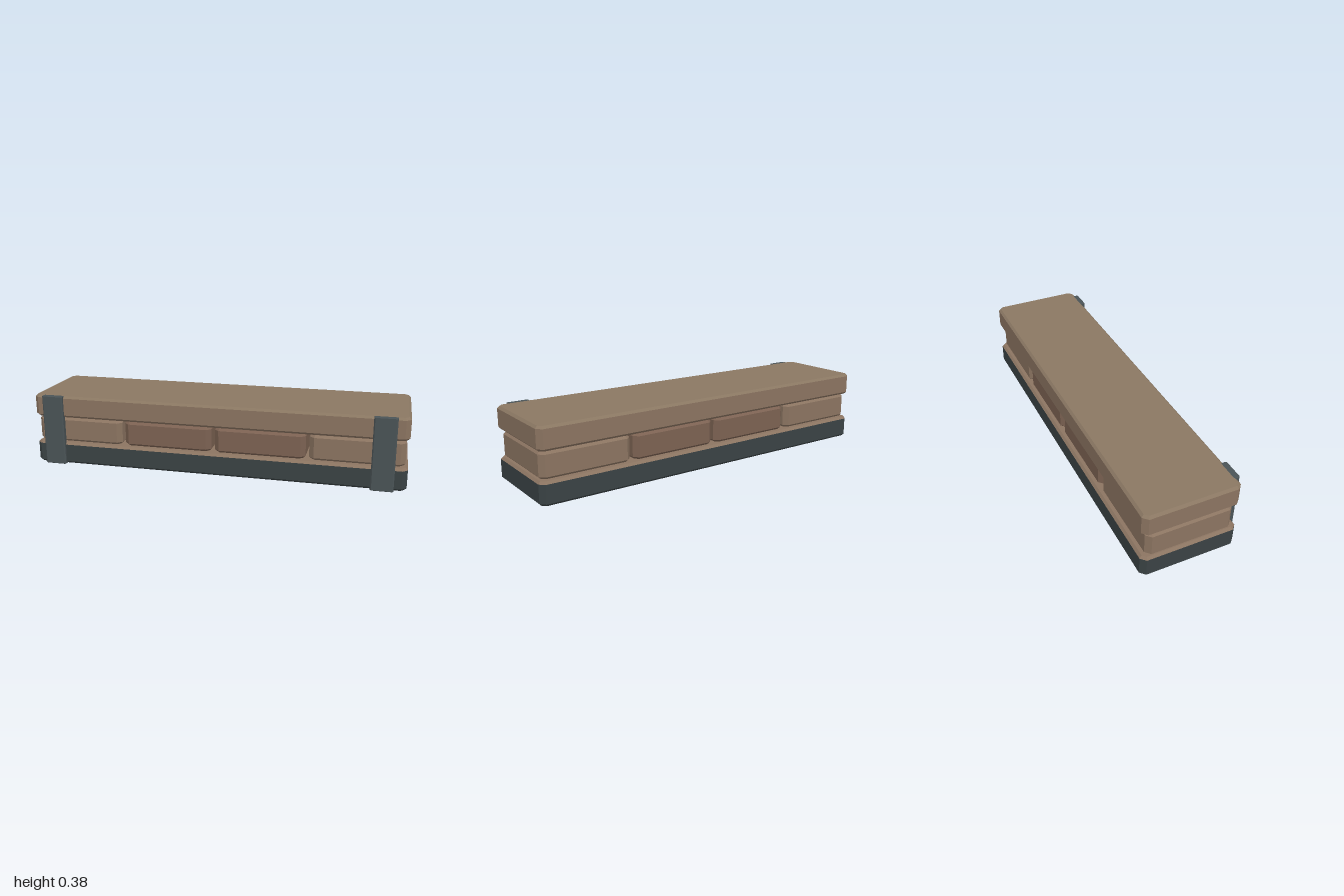
import * as THREE from 'three';

const COLORS = { wood: 0x8b7461, woodTop: 0x8a7762, redWood: 0x7c6252, base: 0x3a4244, strap: 0x4a5356 };

const material = (color) => new THREE.MeshStandardMaterial({ color, flatShading: true });

// Rectangle with cut corners at height y, drawn in by inset
function ring(w, d, cut, inset, y) {
  const x = w / 2 - inset, z = d / 2 - inset, c = cut - inset * 0.586;
  return [
    [x, -z + c], [x, z - c], [x - c, z], [-x + c, z],
    [-x, z - c], [-x, -z + c], [-x + c, -z], [x - c, -z],
  ].map(([px, pz]) => new THREE.Vector3(px, y, pz));
}

// Skin over a stack of rings, with optional flat caps
function loft(rings, capBottom, capTop) {
  const points = [], n = rings[0].length;
  for (let r = 0; r + 1 < rings.length; r++) {
    for (let i = 0; i < n; i++) {
      const j = (i + 1) % n, [lo, hi] = [rings[r], rings[r + 1]];
      points.push(lo[i], hi[i], hi[j], lo[i], hi[j], lo[j]);
    }
  }
  const first = rings[0], last = rings[rings.length - 1];
  for (let i = 1; i + 1 < n; i++) {
    if (capBottom) points.push(first[0], first[i], first[i + 1]);
    if (capTop) points.push(last[0], last[i + 1], last[i]);
  }
  const geometry = new THREE.BufferGeometry().setFromPoints(points);
  geometry.computeVertexNormals();
  return geometry;
}

// Chamfered block; the upper chamfer and top face may have their own color
function block(name, { w, h, d, cut, bevel, color, topColor = color }) {
  const group = new THREE.Group();
  group.name = name;
  const low = ring(w, d, cut, bevel, 0), wallLow = ring(w, d, cut, 0, bevel);
  const wallHigh = ring(w, d, cut, 0, h - bevel), high = ring(w, d, cut, bevel, h);
  const body = new THREE.Mesh(loft([low, wallLow, wallHigh], true, false), material(color));
  body.name = name + 'Body';
  const top = new THREE.Mesh(loft([wallHigh, high], false, true), material(topColor));
  top.name = name + 'Top';
  group.add(body, top);
  return group;
}

export function createModel() {
  const model = new THREE.Group();
  model.name = 'slabStack';
  const add = (part, x, y, z) => {
    part.position.set(x, y, z);
    model.add(part);
  };

  // Dark base with a wooden top, and the wooden upper slab
  const slab = { w: 2, h: 0.119, d: 0.501, cut: 0.025, bevel: 0.012 };
  add(block('baseSlab', { ...slab, color: COLORS.base, topColor: COLORS.wood }), 0, 0.001, -0.008);
  add(block('upperSlab', { ...slab, color: COLORS.wood, topColor: COLORS.woodTop }), 0, 0.262, -0.008);

  // Row of four blocks between the slabs, the inner pair redder
  for (let i = 0; i < 4; i++) {
    const color = i === 1 || i === 2 ? COLORS.redWood : COLORS.wood;
    const brick = block('middleBlock', { w: 0.481, h: 0.132, d: 0.451, cut: 0.025, bevel: 0.012, color });
    add(brick, (i - 1.5) * 0.499 - 0.003, 0.121, -0.008);
  }

  // Upright straps on the front
  for (const side of [-1, 1]) {
    const strap = block('frontStrap', { w: 0.116, h: 0.381, d: 0.033, cut: 0.006, bevel: 0.002, color: COLORS.strap });
    add(strap, side * 0.882 - 0.003, 0, 0.2425);
  }

  return model;
}
